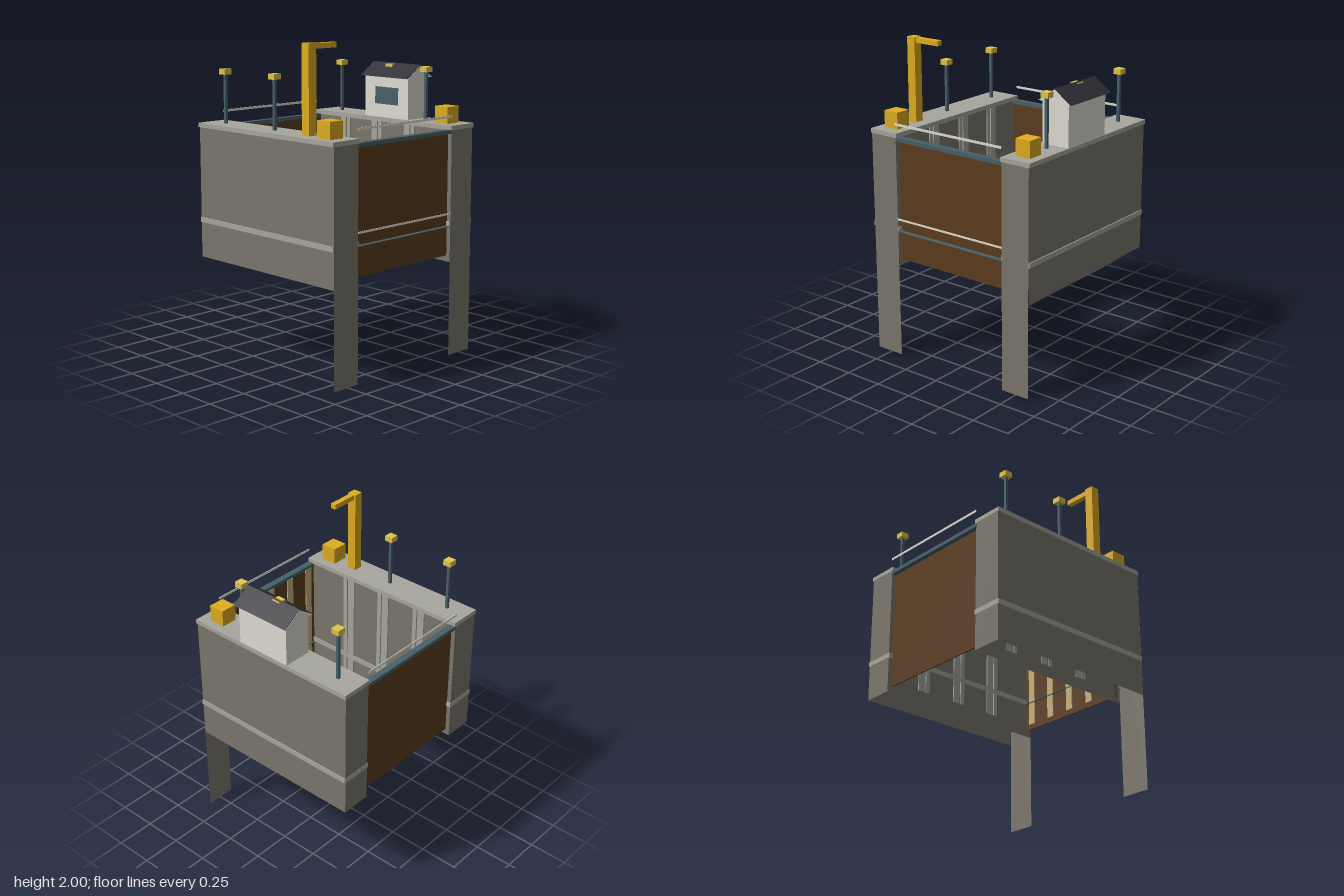
import * as THREE from 'three';

export function createModel() {
  const root = new THREE.Group();
  root.name = 'lockChamber';

  const mat = (name, color, side = THREE.FrontSide) => {
    const m = new THREE.MeshStandardMaterial({ color, side });
    m.name = name;
    return m;
  };
  const stone = mat('stone', 0x7c776c, THREE.DoubleSide);
  const coping = mat('copingStone', 0xa7a79e);
  const timber = mat('timber', 0x5b3c1e);
  const steel = mat('steel', 0x486069);
  const yellow = mat('yellowPaint', 0xe0ae20);
  const lampGlass = mat('lampGlass', 0xe2c64c);
  const pale = mat('palePlaster', 0xe0ddd2);
  const slate = mat('slate', 0x2f2f36);
  const tan = mat('tanTimber', 0xc8b07c);

  // Box given by its [min, max] ranges
  const box = (name, material, [x0, x1], [y0, y1], [z0, z1], parent = root) => {
    const mesh = new THREE.Mesh(new THREE.BoxGeometry(x1 - x0, y1 - y0, z1 - z0), material);
    mesh.position.set((x0 + x1) / 2, (y0 + y1) / 2, (z0 + z1) / 2);
    mesh.name = name;
    parent.add(mesh);
  };
  // Upright sheet of stone between two heights
  const sheet = (name, width, [y0, y1], x, z, turn, parent) => {
    const mesh = new THREE.Mesh(new THREE.PlaneGeometry(width, y1 - y0), stone);
    mesh.position.set(x, (y0 + y1) / 2, z);
    mesh.rotation.y = turn;
    mesh.name = name;
    parent.add(mesh);
  };
  const around = (c, size) => [c - size / 2, c + size / 2];

  const MID = -0.0125, TOP = 1.465;
  const wallX = [-0.515, 0.494];

  // Hollow side walls, open below, with coping, string course and inner strips
  wallX.forEach((x, i) => {
    const side = i ? 1 : -1;
    const wall = new THREE.Group();
    wall.name = i ? 'leftWall' : 'rightWall';
    root.add(wall);
    const height = [0.607, 1.44];
    sheet('outerFace', 1.2, height, x + side * 0.0975, 0, side * Math.PI / 2, wall);
    sheet('innerFace', 1.2, height, x - side * 0.0975, 0, -side * Math.PI / 2, wall);
    sheet('backFace', 0.195, height, x, -0.6, Math.PI, wall);
    sheet('frontLeg', 0.195, [0, 1.44], x, 0.601, 0, wall);
    box('coping', coping, around(x, 0.21), [1.437, TOP], [-0.603, 0.603], wall);
    // String course on both long faces, with a short return at the back
    for (const s of [-1, 1]) {
      box('stringCourse', coping, around(x + s * 0.1, 0.009), [0.833, 0.865], [-0.601, 0.6], wall);
    }
    box('stringReturn', coping, around(x, 0.2), [0.833, 0.865], [-0.602, -0.598], wall);

    const inner = x - side * 0.1;
    for (const z of [0.25, -0.035, -0.32]) {
      box('wallStrip', coping, around(inner, 0.009), [0.68, 1.44], around(z + 0.03, 0.03), wall);
      box('wallStrip', coping, around(inner, 0.009), [0.68, 1.44], around(z - 0.018, 0.05), wall);
    }
  });

  // Recessed gates at both ends, each with a top walkway and handrail
  const span = [-0.418, 0.397];
  for (const s of [1, -1]) {
    const gate = new THREE.Group();
    gate.name = s > 0 ? 'frontGate' : 'backGate';
    root.add(gate);
    box('gatePanel', timber, span, [0.645, 1.42], around(s * 0.568, 0.008), gate);
    box('topWalkway', steel, span, [1.416, 1.44], around(s * 0.581, 0.042), gate);
    box('handrail', pale, span, [1.515, 1.53], around(s * 0.603, 0.004), gate);
  }
  // Lower walkway with its rail, and ribs inside the front gate
  box('lowerRail', pale, span, [0.91, 0.922], [0.599, 0.603]);
  box('lowerWalkway', steel, span, [0.832, 0.836], [0.552, 0.6]);
  for (let i = -2; i <= 2; i++) {
    box('gateRib', tan, around(MID + i * 0.175, 0.052), [0.68, 1.42], [0.558, 0.565]);
  }

  // Lamps and winch boxes along the copings
  [-0.52, 0.4925].forEach((x, i) => {
    for (const z of i ? [-0.455, 0, 0.3] : [-0.455, 0]) {
      const lamp = new THREE.Group();
      lamp.name = 'lamp';
      root.add(lamp);
      box('lampPost', steel, around(x, 0.018), [TOP, 1.77], around(z, 0.018), lamp);
      box('lampHead', lampGlass, around(x, 0.054), [1.77, 1.804], around(z, 0.054), lamp);
    }
    box('winchBox', yellow, around(x, 0.105), [TOP, 1.57], around(0.475, 0.105));
  });

  // Crane
  box('craneMast', yellow, around(-0.52, 0.06), [TOP, 2], around(0.3, 0.06));
  box('craneArm', yellow, [-0.49, -0.315], [1.965, 1.997], around(0.3, 0.036));

  // Control hut: body, gable prism, roof slabs and window
  const hut = new THREE.Group();
  hut.name = 'controlHut';
  root.add(hut);
  box('hutBody', pale, around(0.501, 0.188), [TOP, 1.73], [-0.15, 0.225], hut);
  box('hutWindow', steel, [0.404, 0.41], [1.55, 1.66], [-0.06, 0.14], hut);

  const extrude = (name, material, pts, z0, z1) => {
    const shape = new THREE.Shape(pts.map(([x, y]) => new THREE.Vector2(x, y)));
    const mesh = new THREE.Mesh(
      new THREE.ExtrudeGeometry(shape, { depth: z1 - z0, bevelEnabled: false }), material);
    mesh.position.set(0.502, 0, z0);
    mesh.name = name;
    hut.add(mesh);
  };
  extrude('gable', pale, [[-0.115, 1.726], [0.115, 1.726], [0, 1.806]], -0.17, 0.24);
  extrude('roof', slate,
    [[-0.12, 1.726], [-0.114, 1.726], [0, 1.805], [0.114, 1.726], [0.12, 1.726], [0, 1.811]],
    -0.169, 0.239);

  return root;
}
